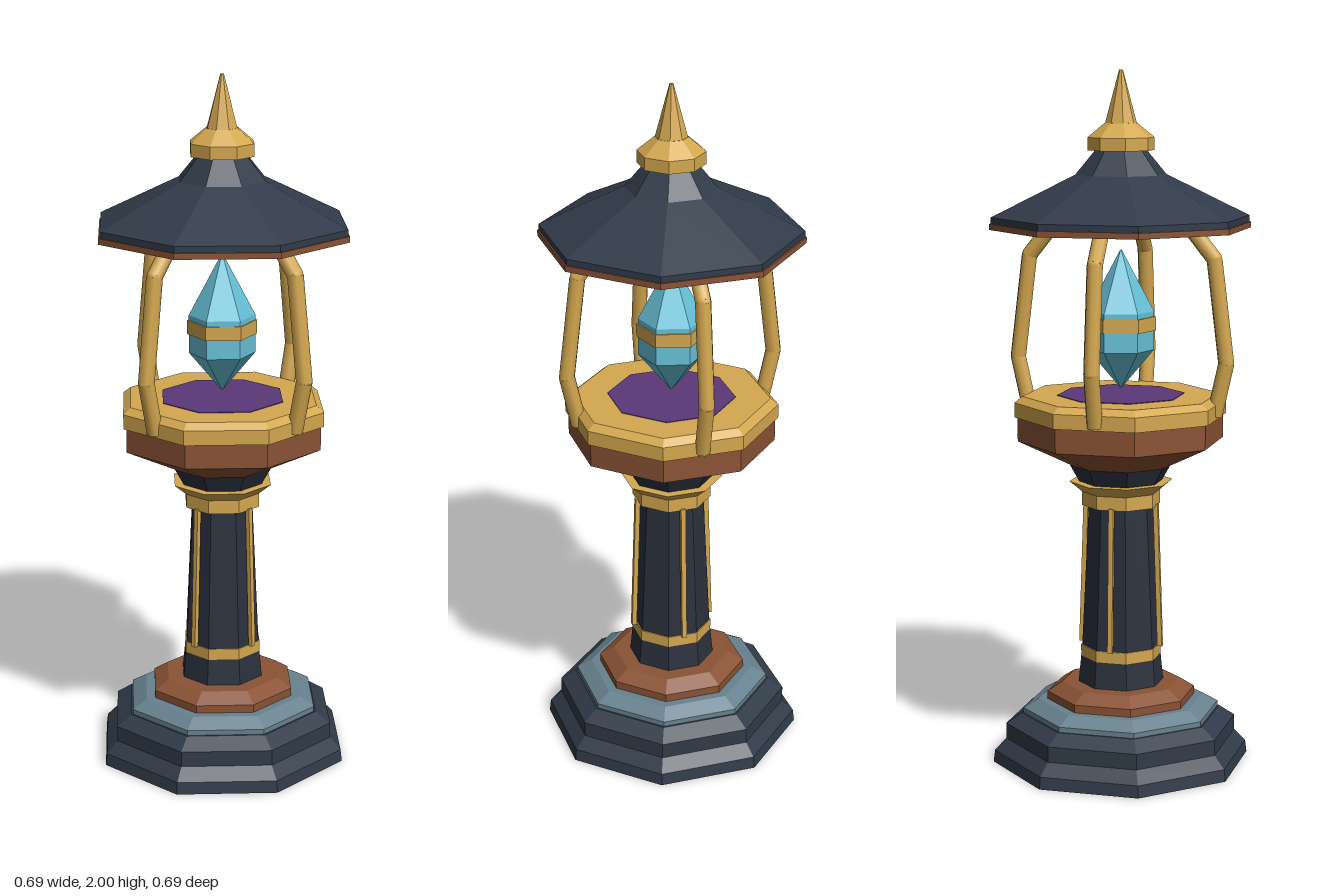
import * as THREE from 'three';

const paint = (name, color) => {
  const m = new THREE.MeshStandardMaterial({ color });
  m.name = name;
  return m;
};

export function createModel() {
  const model = new THREE.Group();
  model.name = 'crystalLantern';
  const gold = paint('gold', 0xd4a850);
  const slate = paint('darkSlate', 0x313b49);
  const ink = paint('darkColumn', 0x2b313d);
  const copper = paint('copper', 0x8a5335);
  const steel = paint('blueGrey', 0x68828f);
  const crystalBlue = paint('crystalBlue', 0x68c2d8);
  const purple = paint('purple', 0x5a3878);

  // Faceted prism from [half width across flats, height] rows, bottom to top, closed at both ends
  function facet(name, material, rows, sides = 8, parent = model) {
    const k = 1 / Math.cos(Math.PI / sides);
    const pts = rows.map(([r, y]) => new THREE.Vector2(r * k, y));
    pts.unshift(new THREE.Vector2(0, rows[0][1]));
    pts.push(new THREE.Vector2(0, rows[rows.length - 1][1]));
    const geo = new THREE.LatheGeometry(pts, sides, Math.PI / sides).toNonIndexed();
    geo.computeVertexNormals();
    const mesh = new THREE.Mesh(geo, material);
    mesh.name = name;
    parent.add(mesh);
    return mesh;
  }

  // Stepped base
  facet('basePlinth', slate, [[0.347, 0], [0.343, 0.035], [0.312, 0.07], [0.312, 0.115], [0.27, 0.145]]);
  facet('baseStep', steel, [[0.265, 0.145], [0.265, 0.16], [0.225, 0.185]]);
  facet('baseCollar', copper, [[0.2, 0.185], [0.2, 0.208], [0.16, 0.235]]);

  // Column with its bands
  facet('column', ink, [[0.115, 0.235], [0.105, 0.345], [0.086, 0.77]]);
  facet('lowerBand', gold, [[0.108, 0.305], [0.108, 0.345]]);
  facet('upperBand', gold, [[0.105, 0.76], [0.105, 0.8]]);
  facet('upperFlare', gold, [[0.105, 0.8], [0.138, 0.83]]);
  facet('capital', ink, [[0.112, 0.83], [0.138, 0.88]]);

  // Bowl, rim and inlaid deck
  facet('bowl', copper, [[0.135, 0.878], [0.275, 0.95], [0.275, 1.02]]);
  facet('rim', gold, [[0.283, 1.02], [0.283, 1.062], [0.262, 1.08]]);
  facet('deckInlay', purple, [[0.17, 1.08], [0.17, 1.082]]);

  // A round or square bar between two points
  const up = new THREE.Vector3(0, 1, 0);
  function bar(geoFor, a, b, name, parent) {
    const d = b.clone().sub(a);
    const mesh = new THREE.Mesh(geoFor(d.length()), gold);
    mesh.position.copy(a).add(b).multiplyScalar(0.5);
    mesh.quaternion.setFromUnitVectors(up, d.normalize());
    mesh.name = name;
    parent.add(mesh);
  }
  const V = (r, y) => new THREE.Vector3(0, y, r);

  // Four column trims and four bent posts on the diagonals
  const bends = [V(0.275, 1.03), V(0.308, 1.18), V(0.272, 1.475), V(0.2, 1.565)];
  for (let i = 0; i < 4; i++) {
    const side = new THREE.Group();
    side.name = 'diagonal' + (i + 1);
    side.rotation.y = Math.PI / 4 + i * Math.PI / 2;
    bar(h => new THREE.BoxGeometry(0.014, h, 0.014), V(0.118, 0.345), V(0.104, 0.765), 'columnTrim', side);
    for (let j = 0; j < 3; j++) {
      bar(h => new THREE.CylinderGeometry(0.023, 0.023, h, 8), bends[j], bends[j + 1], 'post', side);
      if (j === 0) continue;
      const joint = new THREE.Mesh(new THREE.SphereGeometry(0.023, 8, 6), gold);
      joint.position.copy(bends[j]);
      joint.name = 'postBend';
      side.add(joint);
    }
    model.add(side);
  }

  // Floating six-sided crystal and its band
  facet('crystal', crystalBlue, [[0.002, 1.1], [0.082, 1.21], [0.082, 1.32], [0.002, 1.495]], 6);
  facet('crystalBand', gold, [[0.086, 1.265], [0.086, 1.305]], 6);

  // Roof
  facet('roofEave', copper, [[0.345, 1.555], [0.345, 1.572]]);
  facet('roof', slate, [[0.341, 1.572], [0.341, 1.59], [0.12, 1.708], [0.068, 1.776]]);

  // Finial
  facet('finialBase', gold, [[0.088, 1.776], [0.088, 1.812], [0.043, 1.852]]);
  facet('finialSpike', gold, [[0.042, 1.85], [0.005, 2]]);

  return model;
}
